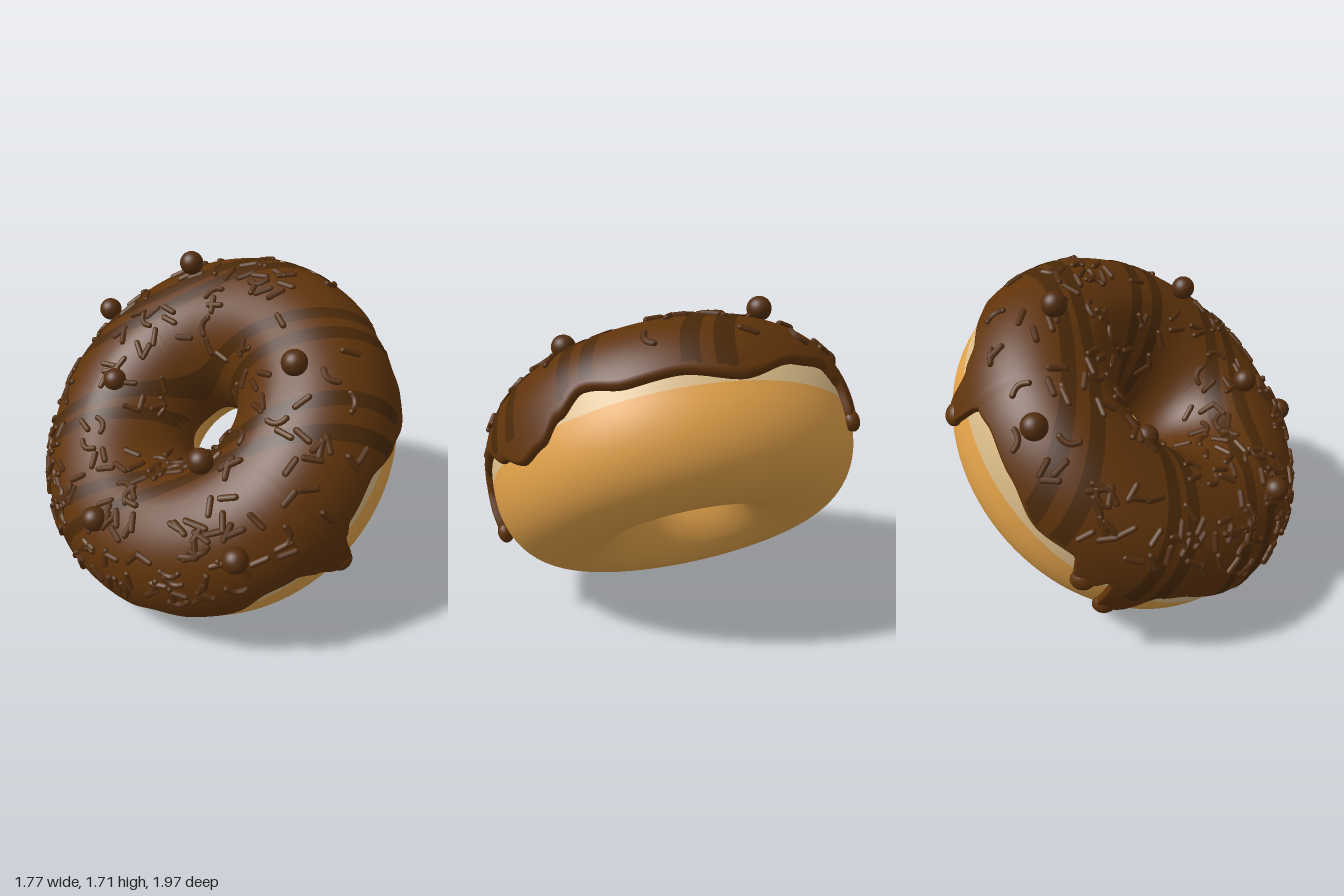
import * as THREE from 'three';
import { mergeGeometries } from 'three/addons/utils/BufferGeometryUtils.js';

const R = 0.575, B = 0.433;               // ring radius, half height
const OUT = { a: 0.394, e: 0.88 };        // outer half width and squareness
const INN = { a: 0.362, e: 1.08 };        // inner half width and squareness
const H = 0.036, OVAL = 0.98;             // icing thickness, slight oval in z
const DEG = Math.PI / 180, TAU = Math.PI * 2;

const mat = (name, color) => {
  const m = new THREE.MeshStandardMaterial({ color });
  m.name = name;
  return m;
};
const spow = (v, e) => Math.sign(v) * Math.abs(v) ** e;

// Ring section at angle t: 0 outside, 90 top, 180 inside; h is the offset
function section(t, h = 0) {
  const s = Math.cos(t) > 0 ? OUT : INN;
  return new THREE.Vector2(R + (s.a + h) * spow(Math.cos(t), s.e), (B + h) * spow(Math.sin(t), s.e));
}
const ring = (theta, t, h = 0) => {
  const p = section(t, h);
  return new THREE.Vector3(p.x * Math.cos(theta), p.y, OVAL * p.x * Math.sin(theta));
};
const heightToAngle = (v) => Math.asin(spow(v / B, 1 / OUT.e));

// Height of the icing edge by angle round the ring, in degrees
const EDGE = [
  [-180, -0.17], [-176, -0.15], [-171, 0.04], [-158, 0.08], [-140, 0.1], [-132, 0.06],
  [-126.5, -0.16], [-121.5, -0.16], [-117, 0.05], [-114, -0.04], [-109, -0.04],
  [-104, 0.07], [-92, 0.04], [-78, 0.1], [-65, 0.12], [-57, 0.09], [-53.5, -0.12],
  [-48.5, -0.12], [-44, 0.04], [-37, 0.1], [-24, 0.08], [-5, -0.01], [12, 0.04], [25, 0.03],
  [37, 0.08], [45, 0.0], [52, -0.08], [60, -0.11], [70, -0.035], [82, 0.075], [94, 0.055],
  [98, -0.01], [101.5, -0.2], [106.5, -0.2], [110, -0.055], [115, 0.038], [124, 0.06],
  [136, -0.005], [149, 0.024], [160, 0.09], [171, 0.04], [176, -0.15], [180, -0.17],
];
function edgeHeight(theta) {
  const d = theta / DEG;
  const i = Math.max(1, EDGE.findIndex((p) => p[0] >= d - 1e-6));
  const [p, q] = [EDGE[i - 1], EDGE[i]];
  return p[1] + (q[1] - p[1]) * THREE.MathUtils.smoothstep(d, p[0], q[0]);
}

function lathe(t0, t1, n) {
  const pts = [];
  for (let i = 0; i <= n; i++) pts.push(section(t0 + (t1 - t0) * i / n));
  return new THREE.LatheGeometry(pts, 96).scale(1, 1, OVAL);
}

function surface(pos, idx) {
  const g = new THREE.BufferGeometry();
  g.setAttribute('position', new THREE.Float32BufferAttribute(pos, 3));
  g.setIndex(idx);
  g.computeVertexNormals();
  return g;
}

// Icing shell with a rounded lip along both edges
function icingGeometry() {
  const N = 360, LIP = 5, MID = 36, M = LIP * 2 + MID, w = 0.065;
  const pos = [], idx = [];
  for (let i = 0; i < N; i++) {
    const th = -Math.PI + TAU * i / N;
    const t0 = heightToAngle(edgeHeight(th));
    const t1 = Math.PI + 0.16 + 0.03 * Math.sin(4 * th);
    for (let j = 0; j <= M; j++) {
      let t = t0 + w + (t1 - t0 - 2 * w) * (j - LIP) / MID, h = H;
      const end = Math.min(j, M - j);
      if (end < LIP) {
        const f = end / LIP * Math.PI / 2, d = w * (1 - Math.cos(f));
        t = j < LIP ? t0 + d : t1 - d;
        h = -0.006 + (H + 0.006) * Math.sin(f);
      }
      pos.push(...ring(th, t, h).toArray());
      if (j < M) {
        const a = i * (M + 1) + j, c = ((i + 1) % N) * (M + 1) + j;
        idx.push(a, a + 1, c, a + 1, c + 1, c);
      }
    }
  }
  return surface(pos, idx);
}

// Thin drizzle band lying on the icing along z = x + k, from rim to rim
function drizzleGeometry(k) {
  const pos = [], idx = [], N = 180, W = 4, h = H + 0.005, kept = new Map();
  for (let i = 0; i <= N; i++) {
    const turn = Math.sin(Math.PI * (i / N - 0.5));
    for (let j = 0; j <= W; j++) {
      const c = k + 0.03 * Math.sin(3 * turn + k * 5) + 0.1 * (j / W - 0.5);
      const s = turn * Math.sqrt(((R + OUT.a + h) ** 2 - c * c / 2) / 2);
      const x = s - c / 2, z = s + c / 2, rho = Math.hypot(x, z);
      const side = rho > R ? OUT : INN;
      const f = Math.min(1, Math.abs(rho - R) / (side.a + h));
      const y = (B + h) * (1 - f ** (2 / side.e)) ** (side.e / 2);
      const limit = rho > R ? Math.max(0.01, edgeHeight(Math.atan2(z, x)) + 0.04) : 0.03;
      if (y < limit) continue;
      kept.set(i * (W + 1) + j, pos.length / 3);
      pos.push(x, y, z * OVAL);
    }
  }
  for (let i = 0; i < N; i++) for (let j = 0; j < W; j++) {
    const a = i * (W + 1) + j, q = [a, a + 1, a + W + 1, a + W + 2];
    if (!q.every((n) => kept.has(n))) continue;
    const [p0, p1, p2, p3] = q.map((n) => kept.get(n));
    idx.push(p0, p1, p2, p1, p3, p2);
  }
  return surface(pos, idx);
}

// Straight and bent sprinkles scattered over the icing
function sprinkleGeometry() {
  let seed = 17;
  const rnd = () => (seed = (seed * 16807) % 2147483647) / 2147483647;
  const straight = new THREE.CapsuleGeometry(0.016, 0.075, 2, 8);
  const bentPath = new THREE.QuadraticBezierCurve3(new THREE.Vector3(-0.012, -0.045, 0),
    new THREE.Vector3(0.03, 0, 0), new THREE.Vector3(-0.012, 0.045, 0));
  const tube = new THREE.TubeGeometry(bentPath, 6, 0.015, 8);
  const caps = [-1, 1].map((s) => new THREE.SphereGeometry(0.015, 8, 6).translate(-0.012, 0.045 * s, 0));
  const bent = mergeGeometries([tube, ...caps]);
  const list = [];
  while (list.length < 230) {
    const th = (rnd() * 2 - 1) * Math.PI, t = (24 + 130 * rnd()) * DEG;
    const c = ring(th, t, H + 0.003);
    if (rnd() > c.x * -0.3 + 0.6 || rnd() > Math.hypot(c.x, c.z)) continue;
    const along = new THREE.Vector3(-Math.sin(th), 0, Math.cos(th));
    const up = ring(th, t + 0.01, H).sub(ring(th, t - 0.01, H)).normalize();
    const out = up.clone().cross(along).normalize();
    const a = rnd() * TAU;
    const dir = along.multiplyScalar(Math.cos(a)).addScaledVector(up, Math.sin(a));
    const m = new THREE.Matrix4().makeBasis(dir.clone().cross(out), dir, out).setPosition(c);
    list.push((rnd() < 0.2 ? bent : straight).clone().applyMatrix4(m));
  }
  return mergeGeometries(list);
}

export function createModel() {
  const dough = mat('golden dough', 0xe2a24a);
  const cream = mat('pale dough', 0xdabb88);
  const icing = mat('chocolate icing', 0x5f330a);
  const drizzle = mat('dark drizzle', 0x482808);
  const sprinkle = mat('brown sprinkles', 0x522d0e);
  drizzle.side = THREE.DoubleSide;

  const donut = new THREE.Group();
  donut.name = 'donut';
  const add = (name, geo, m) => {
    const mesh = new THREE.Mesh(geo, m);
    mesh.name = name;
    donut.add(mesh);
    return mesh;
  };

  // Dough with a pale band round the outside
  const low = heightToAngle(-0.015), high = heightToAngle(0.25);
  add('doughBody', lathe(high, low + TAU, 72), dough);
  add('paleBand', lathe(low, high, 14), cream);

  // Icing and the swollen tips of its drips
  add('icing', icingGeometry(), icing);
  for (const [deg, v] of [[180, -0.155], [-124, -0.16], [-111.5, -0.035], [-51, -0.11], [104, -0.195]]) {
    const drop = add('dripTip', new THREE.SphereGeometry(0.058, 20, 14), icing);
    drop.position.copy(ring(deg * DEG, heightToAngle(v), 0.014));
    drop.rotation.y = -deg * DEG;
    drop.scale.set(0.7, 1, 1);
  }

  // Drizzle, sprinkles and round candies
  for (const k of [-1.0, -0.83, -0.28, -0.1, 0.45, 0.65]) add('drizzleBand', drizzleGeometry(k), drizzle);
  add('sprinkles', sprinkleGeometry(), sprinkle);
  const ball = new THREE.SphereGeometry(0.062, 24, 16);
  for (const p of [[0.68, 0.5, -0.39], [0.3, 0.37, -0.88], [0.39, 0.52, 0.55], [-0.21, 0.52, 0.4],
    [-0.71, 0.48, 0.01], [-0.5, 0.36, 0.74], [-0.06, 0.44, -0.45]]) {
    add('candyBall', ball, sprinkle).position.set(...p);
  }

  // Lean the ring so that it rests on the ground
  donut.rotation.z = 42 * DEG;
  donut.position.set(0.025, 0.822, -0.015);
  const model = new THREE.Group();
  model.name = 'leaningDonut';
  model.add(donut);
  return model;
}
